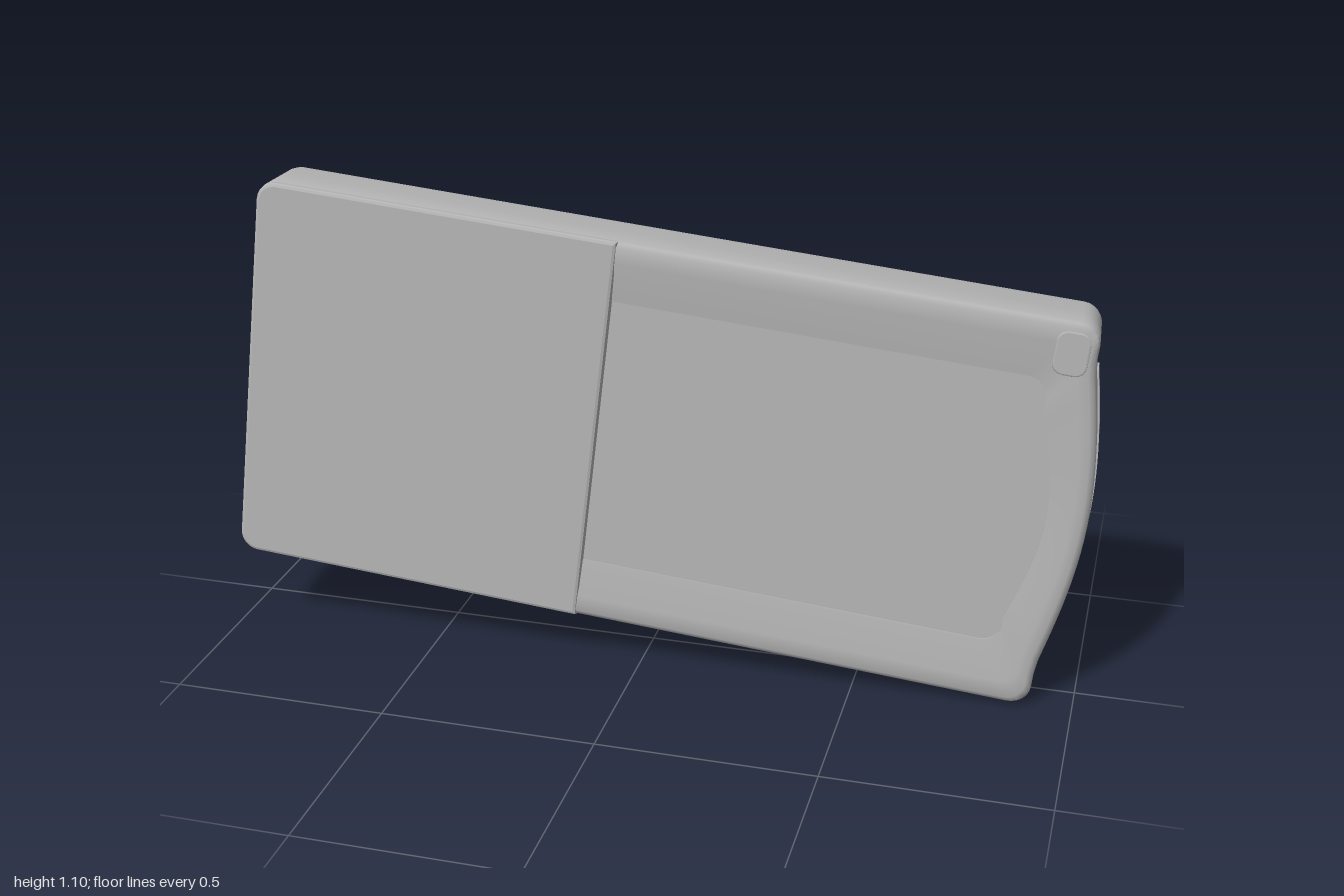
import * as THREE from 'three';
import { toCreasedNormals } from 'three/addons/utils/BufferGeometryUtils.js';

// Handset frame: u = long axis, v = width, w = thickness (battery side is +w, keypad side -w)
const A = 0.95, B = 0.457, T = 0.12;
const bow = v => Math.abs(v) < 0.36 ? 0.05 * Math.cos(Math.PI * v / 0.72) : 0;

// Counter-clockwise outline with rounded corners and a bowed +u end
function outline(du, dv = du, r = 0.045) {
  const pts = [], a = A - du, b = B - dv;
  const corner = (cx, cy, start) => {
    for (let i = 0; i <= 6; i++) {
      const t = start + i / 6 * Math.PI / 2;
      pts.push(new THREE.Vector2(cx + r * Math.cos(t), cy + r * Math.sin(t)));
    }
  };
  corner(a - r, -b + r, -Math.PI / 2);
  for (let i = 1; i < 24; i++) {
    const v = (b - r) * (i / 12 - 1);
    pts.push(new THREE.Vector2(a + bow(v * 0.36 / Math.max(0.36, 0) * (B / b)), v));
  }
  corner(a - r, b - r, 0);
  corner(-a + r, b - r, Math.PI / 2);
  corner(-a + r, -b + r, Math.PI);
  return pts;
}

// Skin through outlines of equal point count, listed from low w to high w
function loft(rings) {
  const pos = [], idx = [], n = rings[0].pts.length;
  rings.forEach(({ pts, w }) => pts.forEach(p => pos.push(p.x, p.y, w)));
  for (let i = 0; i < rings.length - 1; i++) {
    for (let j = 0; j < n; j++) {
      const k = (j + 1) % n, p = i * n, q = p + n;
      idx.push(p + j, p + k, q + k, p + j, q + k, q + j);
    }
  }
  const g = new THREE.BufferGeometry();
  g.setAttribute('position', new THREE.Float32BufferAttribute(pos, 3));
  g.setIndex(idx);
  return toCreasedNormals(g, 0.7);
}

const poly = list => list.map(([x, y]) => new THREE.Vector2(x, y));

// Rectangle with rounded corners, centred on cx, cy
function roundRect(cx, cy, w, h, r) {
  const pts = [];
  [[1, 1], [-1, 1], [-1, -1], [1, -1]].forEach(([sx, sy], q) => {
    for (let i = 0; i <= 5; i++) {
      const t = (q + i / 5) * Math.PI / 2;
      pts.push(new THREE.Vector2(cx + sx * (w / 2 - r) + r * Math.cos(t), cy + sy * (h / 2 - r) + r * Math.sin(t)));
    }
  });
  return pts;
}

function slab(pts, depth, bevel = 0, holes = []) {
  const s = new THREE.Shape(pts);
  holes.forEach(h => s.holes.push(new THREE.Path(h)));
  return new THREE.ExtrudeGeometry(s, {
    depth: depth - bevel, bevelEnabled: bevel > 0, bevelSize: bevel, bevelThickness: bevel,
    bevelOffset: -bevel, bevelSegments: 2, curveSegments: 6
  });
}

export function createModel() {
  const grey = new THREE.MeshStandardMaterial({ color: 0xb4b4b4 });
  grey.name = 'casing grey';
  const model = new THREE.Group();
  model.name = 'mobilePhone';
  const phone = new THREE.Group();
  phone.name = 'handset';
  model.add(phone);
  const add = (parent, name, geo, x = 0, y = 0, z = 0) => {
    const m = new THREE.Mesh(geo, grey);
    m.name = name;
    m.position.set(x, y, z);
    parent.add(m);
    return m;
  };

  // Casing: big rounding on the keypad side, tight edge on the battery side
  const rings = [], R = 0.08;
  for (let i = 0; i <= 8; i++) {
    const t = i / 8 * Math.PI / 2;
    const d = R * (1 - Math.sin(t));
    rings.push({ pts: outline(d), w: -T + R * (1 - Math.cos(t)) });
  }
  rings.push({ pts: outline(0), w: 0.03 });
  rings.push({ pts: outline(0), w: 0.098 });
  rings.push({ pts: outline(0.004), w: 0.108 });
  rings.push({ pts: outline(0.014), w: 0.114 });
  rings.push({ pts: outline(0.035, 0.05), w: 0.113 });
  const pocket = outline(0.09, 0.14);
  rings.push({ pts: pocket, w: 0.102 });
  rings.push({ pts: pocket, w: 0.098 });
  add(phone, 'casing', loft(rings));
  add(phone, 'batteryPanel', new THREE.ShapeGeometry(new THREE.Shape(pocket)), 0, 0, 0.098);

  // Raised cover over the other half of the battery side
  const cover = outline(0.001).filter(p => p.x < 0);
  cover.push(new THREE.Vector2(-0.11, -B + 0.001), new THREE.Vector2(-0.11, B - 0.001));
  add(phone, 'batteryCover', slab(cover, 0.019, 0.008), 0, 0, 0.099);

  // Small strap tab at one corner of the rim
  add(phone, 'strapTab', slab(roundRect(0, 0, 0.075, 0.1, 0.025), 0.014, 0.004), 0.895, 0.385, 0.102);

  // Connector flap that follows the bowed end
  const flap = (name, v0, v1, w0, w1) => {
    const g = new THREE.BoxGeometry(0.016, v1 - v0, w1 - w0, 1, 20, 1);
    g.translate(0, (v0 + v1) / 2, (w0 + w1) / 2);
    const p = g.attributes.position;
    for (let i = 0; i < p.count; i++) p.setX(i, p.getX(i) + A - 0.004 + bow(p.getY(i)));
    g.computeVertexNormals();
    add(phone, name, g);
  };
  flap('endFlap', -0.33, 0.23, -0.066, 0.02);
  flap('endFlapTip', 0.23, 0.33, -0.036, 0.02);

  // Keypad side, turned round so that its parts face outwards
  const face = new THREE.Group();
  face.name = 'keypadSide';
  face.rotation.y = Math.PI;
  phone.add(face);
  const mirror = pts => pts.map(p => new THREE.Vector2(-p.x, p.y)).reverse();
  const rim = mirror(outline(R));
  const screen = roundRect(-0.303, 0, 0.675, 0.65, 0.006);
  const keyBed = roundRect(0.452, 0, 0.715, 0.66, 0.02);
  const earpiece = roundRect(-0.848, 0, 0.085, 0.2, 0.04);
  add(face, 'facePlate', slab(rim, 0.02, 0, [screen, keyBed, earpiece]), 0, 0, T - 0.02);
  add(face, 'recessFloor', new THREE.ShapeGeometry(new THREE.Shape(rim)), 0, 0, T - 0.014);
  add(face, 'screen', slab(roundRect(0, 0, 0.645, 0.62, 0.006), 0.006, 0.002), -0.303, 0, T - 0.014);

  // Earpiece slots
  for (let i = 0; i < 4; i++) {
    add(face, 'earpieceBar', slab(roundRect(0, 0, 0.06, 0.036, 0.017), 0.014, 0.004), -0.848, (i - 1.5) * 0.043, T - 0.014);
  }

  // Three large keys with a raised ring, then three rows of four number keys
  const bigKey = poly([[-0.125, -0.07], [-0.095, -0.1], [0.085, -0.1], [0.125, -0.06],
    [0.125, 0.06], [0.085, 0.1], [-0.095, 0.1], [-0.125, 0.07]]);
  const smallKey = poly([[-0.045, -0.055], [-0.022, -0.1], [0.022, -0.1], [0.045, -0.055],
    [0.045, 0.055], [0.022, 0.1], [-0.022, 0.1], [-0.045, 0.055]]);
  const bigGeo = slab(bigKey, 0.018, 0.008), smallGeo = slab(smallKey, 0.022, 0.01);
  const ringGeo = slab(roundRect(0, 0, 0.15, 0.125, 0.035), 0.01, 0.004, [roundRect(0, 0, 0.1, 0.075, 0.02)]);
  for (let row = -1; row <= 1; row++) {
    const v = row * 0.217;
    add(face, 'largeKey', bigGeo, 0.235, v, T - 0.014);
    add(face, 'keyRing', ringGeo, 0.24, v - row * 0.015, T);
    for (let col = 0; col < 4; col++) {
      add(face, 'numberKey', smallGeo, 0.425 + col * 0.108, v, T - 0.014);
    }
  }

  // Lay the handset at its slight tilt
  const L = new THREE.Vector3(1.89, -0.2, -0.077).normalize();
  const N = new THREE.Vector3().crossVectors(L, new THREE.Vector3(0.1, 0.91, -0.05)).normalize();
  const H = new THREE.Vector3().crossVectors(N, L);
  phone.quaternion.setFromRotationMatrix(new THREE.Matrix4().makeBasis(L, H, N));
  phone.position.set(0, 0.557, 0);
  return model;
}
